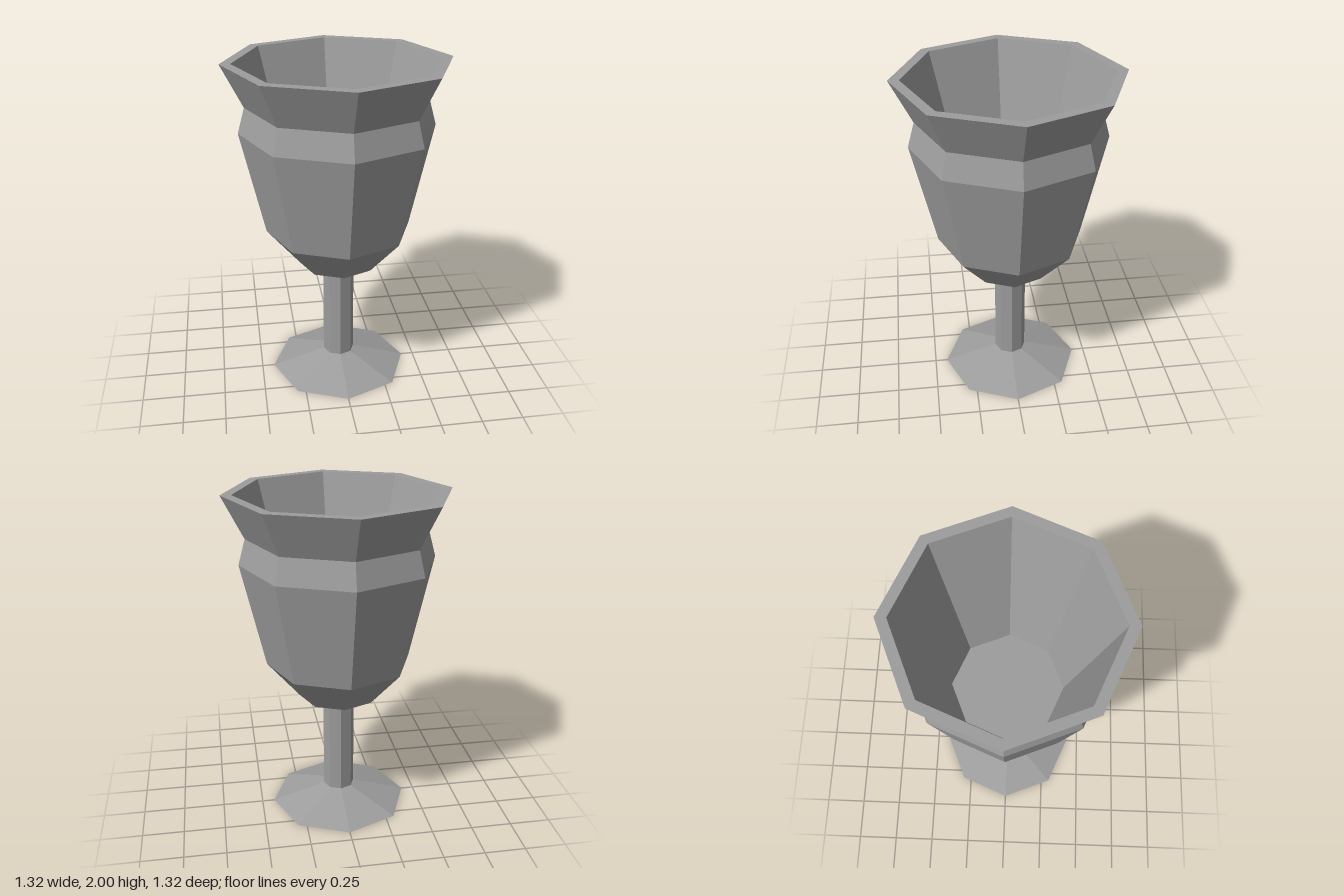
import * as THREE from 'three';

const SIDES = 8;

// Eight-sided faceted part turned from [radius, height] points
function turned(name, profile, material) {
  const points = profile.map(([r, y]) => new THREE.Vector2(r, y));
  const mesh = new THREE.Mesh(new THREE.LatheGeometry(points, SIDES), material);
  mesh.name = name;
  return mesh;
}

export function createModel() {
  const group = new THREE.Group();
  group.name = 'goblet';
  const material = new THREE.MeshStandardMaterial({ color: 0x9d9d9d, flatShading: true });

  // Low cone foot with a flat underside
  group.add(turned('foot', [[0, 0], [0.425, 0], [0.096, 0.105]], material));

  // Straight stem
  group.add(turned('stem', [[0.096, 0.105], [0.096, 0.717]], material));

  // Bowl: outer wall up to the flared rim, then inner wall down to the floor
  group.add(turned('bowl', [
    [0.096, 0.717], [0.24, 0.747], [0.437, 0.975], [0.577, 1.6], [0.535, 1.75], [0.66, 2],
    [0.597, 2], [0.333, 1.1], [0, 1.1],
  ], material));

  return group;
}
